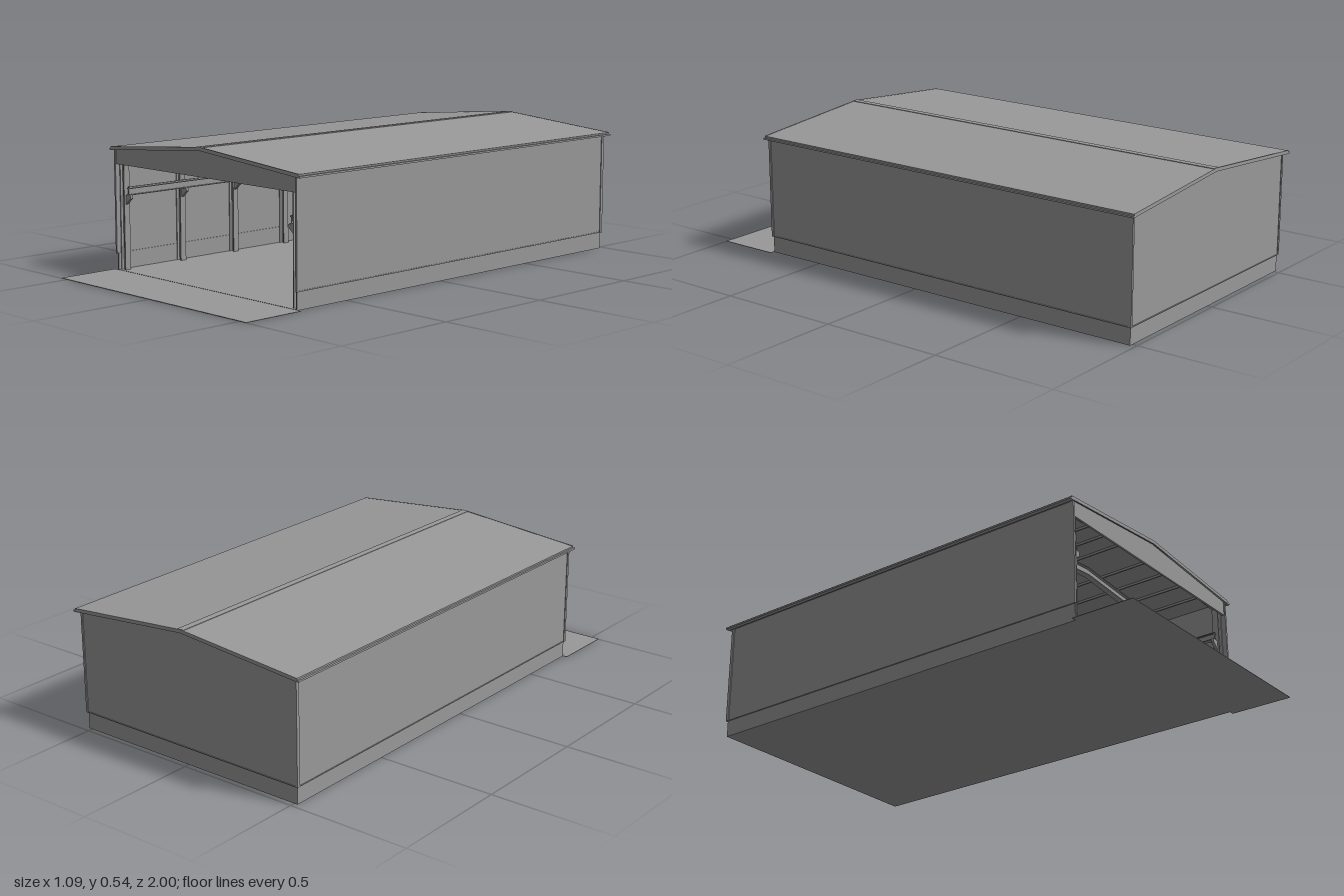
import * as THREE from 'three';

export function createModel() {
  const model = new THREE.Group();
  model.name = 'portalFrameHall';
  const grey = new THREE.MeshStandardMaterial({ color: 0x999999 });
  grey.name = 'plain grey';

  const Z0 = -0.98, Z1 = 0.745, ZM = (Z0 + Z1) / 2, LEN = Z1 - Z0;
  const roofY = x => 0.533 - 0.086 * Math.abs(x); // top of the roof sheet

  const add = (name, geo, x = 0, y = 0, z = 0, parent = model) => {
    const m = new THREE.Mesh(geo, grey);
    m.name = name;
    m.position.set(x, y, z);
    parent.add(m);
    return m;
  };
  // box given by its limits
  const box = (name, x0, x1, y0, y1, z0, z1, parent = model) =>
    add(name, new THREE.BoxGeometry(x1 - x0, y1 - y0, z1 - z0),
      (x0 + x1) / 2, (y0 + y1) / 2, (z0 + z1) / 2, parent);
  // outline in x, y extruded from z0 to z1
  const prism = (name, pts, z0, z1, parent = model) =>
    add(name, new THREE.ExtrudeGeometry(new THREE.Shape(pts.map(p => new THREE.Vector2(...p))),
      { depth: z1 - z0, bevelEnabled: false }), 0, 0, z0, parent);
  // box mirrored to both sides
  const pair = (name, x0, x1, ...rest) => {
    box(name, x0, x1, ...rest);
    box(name, -x1, -x0, ...rest);
  };

  // Floor and apron
  box('floor', -0.515, 0.515, 0, 0.003, Z0, Z1);
  box('apron', -0.535, 0.535, 0, 0.002, Z1, 1);

  // Plinth and cladding
  pair('sidePlinth', 0.509, 0.515, 0, 0.07, Z0, Z1);
  box('backPlinth', -0.509, 0.509, 0, 0.07, Z0, Z0 + 0.006);
  pair('sideWall', 0.512, 0.518, 0.07, 0.477, Z0 - 0.003, Z1);
  const gable = y => [[-0.512, y], [0.512, y], [0.512, roofY(0.512) - 0.01],
    [0, roofY(0) - 0.01], [-0.512, roofY(0.512) - 0.01]];
  prism('backWall', gable(0.07), Z0 - 0.003, Z0 + 0.003);
  prism('frontGable', gable(0.42), Z1 - 0.008, Z1);

  // Corner flashings and drip strips
  for (const [a, b] of [[Z0 - 0.006, Z0 + 0.008], [Z1 - 0.006, Z1 + 0.005]]) {
    pair('cornerTrim', 0.512, 0.521, 0.067, 0.477, a, b);
  }
  pair('sideDrip', 0.512, 0.52, 0.067, 0.071, Z0, Z1);
  box('backDrip', -0.515, 0.515, 0.067, 0.071, Z0 - 0.005, Z0);

  // Roof sheets, ridge cap, verge trims and gutters
  for (const s of [-1, 1]) {
    const strip = (a, b, lo, hi) => {
      const p = [[s * a, roofY(a) + lo], [s * b, roofY(b) + lo], [s * b, roofY(b) + hi], [s * a, roofY(a) + hi]];
      return s > 0 ? p : p.reverse();
    };
    prism('roofSheet', strip(0, 0.535, -0.01, 0), -0.995, 0.75);
    prism('ridgeCap', strip(0, 0.014, 0, 0.002), -0.998, 0.754);
    prism('vergeTrim', strip(0, 0.535, -0.013, 0.001), 0.75, 0.755);
    prism('vergeTrim', strip(0, 0.535, -0.013, 0.001), -1, -0.995);
    // one rafter pair per frame
    for (let i = 0; i < 7; i++) {
      const z = Z0 + 0.025 + i * (LEN - 0.05) / 6;
      prism('rafterWeb', strip(0, 0.51, -0.047, -0.018), z - 0.002, z + 0.002);
      prism('rafterFlange', strip(0, 0.51, -0.051, -0.047), z - 0.012, z + 0.012);
      prism('rafterFlange', strip(0, 0.51, -0.022, -0.018), z - 0.012, z + 0.012);
    }
    // purlins
    for (const x of [0.09, 0.2, 0.31, 0.42]) {
      box('purlin', s * x - 0.003, s * x + 0.003, roofY(x) - 0.019, roofY(x) - 0.01, Z0, Z1 - 0.008);
    }
  }
  pair('gutter', 0.526, 0.543, 0.474, 0.481, -1, 0.755);

  // H-section columns with crane brackets
  for (let i = 0; i < 7; i++) {
    const z = Z0 + 0.025 + i * (LEN - 0.05) / 6;
    pair('columnFlange', 0.482, 0.486, 0, 0.455, z - 0.013, z + 0.013);
    pair('columnFlange', 0.505, 0.509, 0, 0.465, z - 0.013, z + 0.013);
    pair('columnWeb', 0.486, 0.505, 0, 0.455, z - 0.002, z + 0.002);
    for (const s of [-1, 1]) {
      const p = [[s * 0.453, 0.287], [s * 0.482, 0.262], [s * 0.482, 0.3], [s * 0.453, 0.3]];
      prism('craneBracket', s > 0 ? p : p.reverse(), z - 0.006, z + 0.006);
    }
  }

  // Crane runways: I-beams with a rail on top
  pair('runwayFlange', 0.456, 0.476, 0.3, 0.303, Z0 + 0.01, Z1 - 0.02);
  pair('runwayWeb', 0.464, 0.468, 0.303, 0.325, Z0 + 0.01, Z1 - 0.02);
  pair('runwayFlange', 0.458, 0.474, 0.325, 0.328, Z0 + 0.01, Z1 - 0.02);
  pair('craneRail', 0.463, 0.469, 0.328, 0.333, Z0 + 0.01, Z1 - 0.02);

  // Overhead crane
  const crane = new THREE.Group();
  crane.name = 'overheadCrane';
  crane.position.z = -0.1;
  model.add(crane);
  box('bridgeBeam', -0.472, 0.472, 0.34, 0.388, -0.014, 0.014, crane);
  for (const s of [-1, 1]) {
    box('endCarriage', s * 0.466 - 0.009, s * 0.466 + 0.009, 0.336, 0.362, -0.09, 0.09, crane);
    for (const z of [-0.07, 0.07]) {
      const wheel = add('carriageWheel', new THREE.CylinderGeometry(0.011, 0.011, 0.01, 16), s * 0.466, 0.344, z, crane);
      wheel.rotation.z = Math.PI / 2;
    }
  }
  // trolley, drum, cable and hook block
  box('trolley', -0.15, -0.075, 0.388, 0.393, -0.025, 0.025, crane);
  const drum = add('hoistDrum', new THREE.CapsuleGeometry(0.008, 0.09, 6, 16), -0.113, 0.4, 0, crane);
  drum.rotation.z = Math.PI / 2;
  for (const x of [-0.15, -0.075]) box('drumStand', x - 0.003, x + 0.003, 0.39, 0.418, -0.01, 0.01, crane);
  for (const x of [-0.126, -0.122]) {
    add('hoistCable', new THREE.CylinderGeometry(0.001, 0.001, 0.225, 8), x, 0.277, 0.018, crane);
  }
  for (const x of [-0.125, -0.103]) {
    const sheave = add('hookSheave', new THREE.CylinderGeometry(0.013, 0.013, 0.014, 20), x, 0.152, 0.018, crane);
    sheave.rotation.x = Math.PI / 2;
  }
  box('hookBlock', -0.137, -0.091, 0.148, 0.158, 0.01, 0.027, crane);
  add('hookShank', new THREE.CylinderGeometry(0.003, 0.003, 0.022, 10), -0.11, 0.13, 0.018, crane);
  const hook = add('hook', new THREE.TorusGeometry(0.007, 0.0022, 8, 20, Math.PI * 1.4), -0.108, 0.117, 0.018, crane);
  hook.rotation.z = Math.PI * 0.75;

  // Roller door inside the back wall
  const D = Z0 + 0.003;
  box('rollerCurtain', -0.108, 0.108, 0.004, 0.245, D, D + 0.004);
  for (const s of [-1, 1]) {
    box('doorGuide', s * 0.112 - 0.004, s * 0.112 + 0.004, 0, 0.245, D, D + 0.012);
    add('doorBollard', new THREE.CylinderGeometry(0.006, 0.006, 0.053, 14), s * 0.116, 0.0265, D + 0.035);
  }
  const roll = add('doorRoll', new THREE.CylinderGeometry(0.0135, 0.0135, 0.228, 24), 0, 0.252, D + 0.0135);
  roll.rotation.z = Math.PI / 2;
  box('doorBottomBar', -0.108, 0.108, 0.003, 0.008, D, D + 0.007);

  return model;
}
